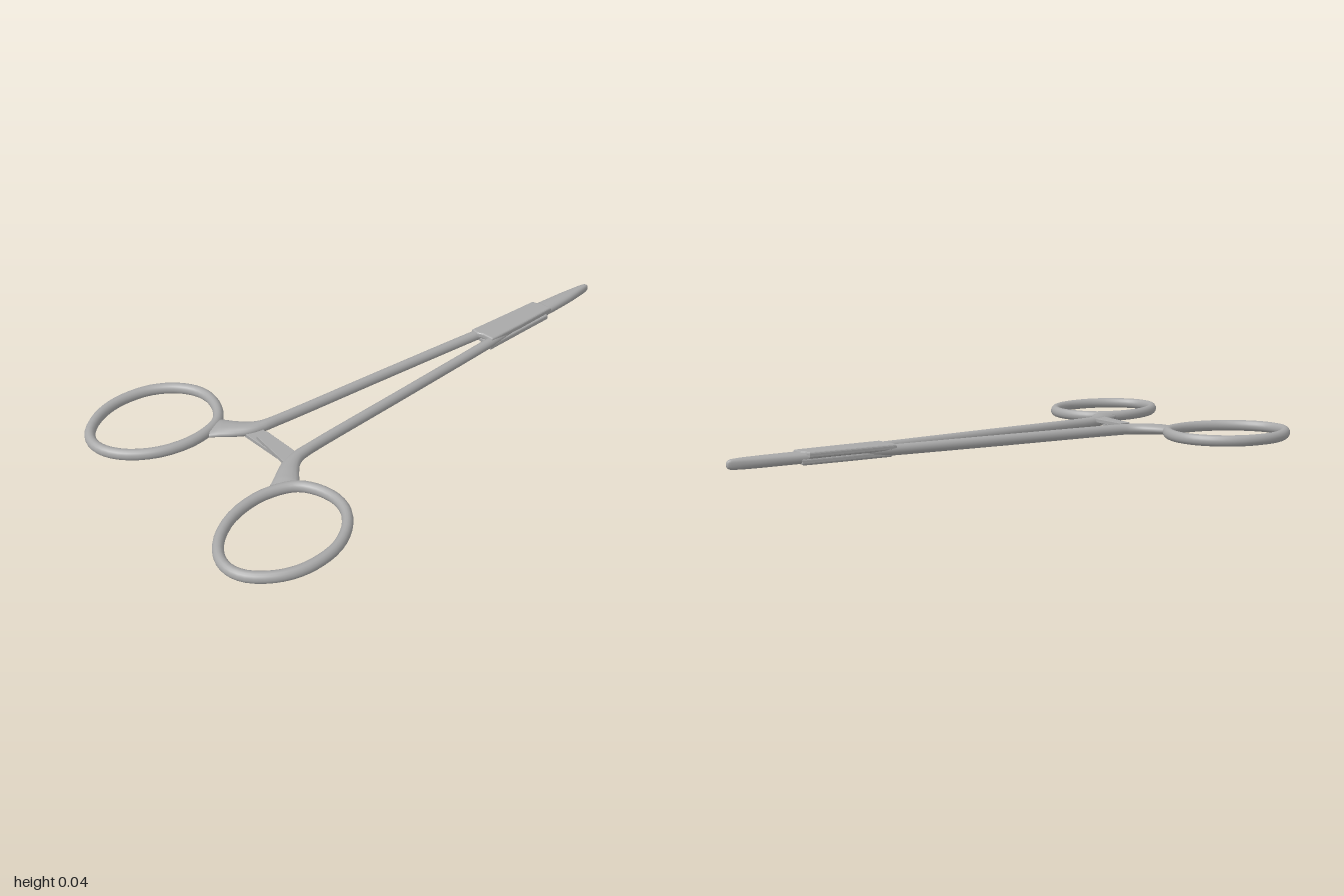
import * as THREE from 'three';

const MID = 0.022;   // height of the middle plane
const steel = new THREE.MeshStandardMaterial({ color: 0xa8a8a8 });
steel.name = 'steel';

// Sweep a rounded section along points [x, z, halfWidth, halfHeight].
function loft(points, { steps = 8, sides = 16, closed = false, power = 1 } = {}) {
  const path = new THREE.CatmullRomCurve3(
    points.map(([x, z]) => new THREE.Vector3(x, MID, z)), closed, 'centripetal');
  const spans = closed ? points.length : points.length - 1;
  const total = spans * steps, rows = closed ? total : total + 1;
  const pos = [], index = [];
  const bend = (v) => Math.sign(v) * Math.pow(Math.abs(v), power);
  for (let i = 0; i < rows; i++) {
    const t = i / total, f = t * spans, k = Math.min(Math.floor(f), spans - 1);
    const a = points[k], b = points[(k + 1) % points.length];
    const w = THREE.MathUtils.lerp(a[2], b[2], f - k);
    const h = THREE.MathUtils.lerp(a[3], b[3], f - k);
    const c = path.getPoint(t), d = path.getTangent(t);
    for (let j = 0; j < sides; j++) {
      const q = (j / sides) * Math.PI * 2;
      const u = bend(Math.cos(q)) * w;
      pos.push(c.x - d.z * u, c.y + bend(Math.sin(q)) * h, c.z + d.x * u);
    }
  }
  for (let i = 0; i < total; i++) {
    for (let j = 0; j < sides; j++) {
      const m = (j + 1) % sides, n = ((i + 1) % rows) * sides;
      const a = i * sides + j, b = i * sides + m;
      index.push(a, n + j, b, b, n + j, n + m);
    }
  }
  if (!closed) {
    const last = (rows - 1) * sides;
    for (let j = 1; j < sides - 1; j++) {
      index.push(0, j, j + 1, last, last + j + 1, last + j);
    }
  }
  const g = new THREE.BufferGeometry();
  g.setAttribute('position', new THREE.Float32BufferAttribute(pos, 3));
  g.setIndex(index);
  g.computeVertexNormals();
  return g;
}

// Flat plate with outline [x, z] between two heights, with softened edges.
function plate(outline, y0, y1, bevel) {
  const shape = new THREE.Shape(outline.map(([x, z]) => new THREE.Vector2(x, -z)));
  const g = new THREE.ExtrudeGeometry(shape, {
    depth: y1 - y0 - 2 * bevel, bevelEnabled: true, bevelThickness: bevel,
    bevelSize: bevel, bevelOffset: -bevel, bevelSegments: 3,
  });
  g.rotateX(-Math.PI / 2);
  g.translate(0, y0 + bevel, 0);
  return g;
}

export function createModel() {
  const model = new THREE.Group();
  model.name = 'lockingForceps';
  const add = (name, geometry, parent = model) => {
    const mesh = new THREE.Mesh(geometry, steel);
    mesh.name = name;
    parent.add(mesh);
    return mesh;
  };

  // Centre line of the finger ring
  const ring = [
    [-0.981, -0.395], [-0.958, -0.452], [-0.895, -0.507], [-0.825, -0.535],
    [-0.75, -0.54], [-0.675, -0.525], [-0.605, -0.482], [-0.558, -0.42],
    [-0.544, -0.355], [-0.56, -0.282], [-0.597, -0.227], [-0.65, -0.2],
    [-0.735, -0.188], [-0.84, -0.21], [-0.925, -0.265], [-0.972, -0.332],
  ];
  // Neck flaring out of the ring, then the long straight shank
  const arm = [
    [-0.635, -0.205, 0.050, 0.012], [-0.612, -0.182, 0.043, 0.018],
    [-0.58, -0.15, 0.036, 0.02], [-0.545, -0.122, 0.029, 0.02],
    [-0.505, -0.105, 0.021, 0.02], [-0.45, -0.097, 0.0175, 0.02],
    [0, -0.066, 0.0175, 0.02], [0.43, -0.035, 0.0185, 0.019],
    [0.56, -0.022, 0.018, 0.017],
  ];

  for (const side of [1, -1]) {
    const half = new THREE.Group();
    half.name = side < 0 ? 'leftHandle' : 'rightHandle';
    model.add(half);
    add('fingerRing', loft(ring.map(([x, z]) => [x, z * side, 0.018, 0.02]),
      { steps: 3, closed: true }), half);
    add('shank', loft(arm.map(([x, z, w, h]) => [x, z * side, w, h]),
      { steps: 6 }), half);

    // Ratchet catch reaching across to the other handle, one above the other
    const lock = [[-0.571, -0.135], [-0.506, -0.115], [-0.515, 0.055], [-0.557, 0.055]]
      .map(([x, z]) => [x, z * side]);
    const y = side < 0 ? MID : 0.007;
    add('ratchetCatch', plate(lock, y, y + 0.015, 0.002), half);

    // Overlapping half of the box joint; the two halves are turned about the long axis
    const joint = [[0.425, -0.052], [0.422, -0.02], [0.432, 0.0], [0.437, 0.046],
      [0.6, 0.043], [0.757, 0.036], [0.754, -0.012], [0.742, -0.022], [0.735, -0.042],
      [0.6, -0.046]].map(([x, z]) => [x, z * side]);
    const base = side > 0 ? MID - 0.001 : 0;
    add('jointCheek', plate(joint, base, base + 0.023, 0.007), half);
  }

  // Joint core running into the closed, tapering jaws
  add('jaws', loft([
    [0.5, 0, 0.036, 0.017], [0.7, -0.001, 0.036, 0.019], [0.78, 0, 0.033, 0.0195],
    [0.88, 0, 0.026, 0.0195], [0.95, 0, 0.017, 0.019], [0.985, 0, 0.011, 0.017],
    [0.996, 0, 0.008, 0.012], [1.0, 0, 0.003, 0.004],
  ], { steps: 4, sides: 20, power: 0.8 }));

  return model;
}
